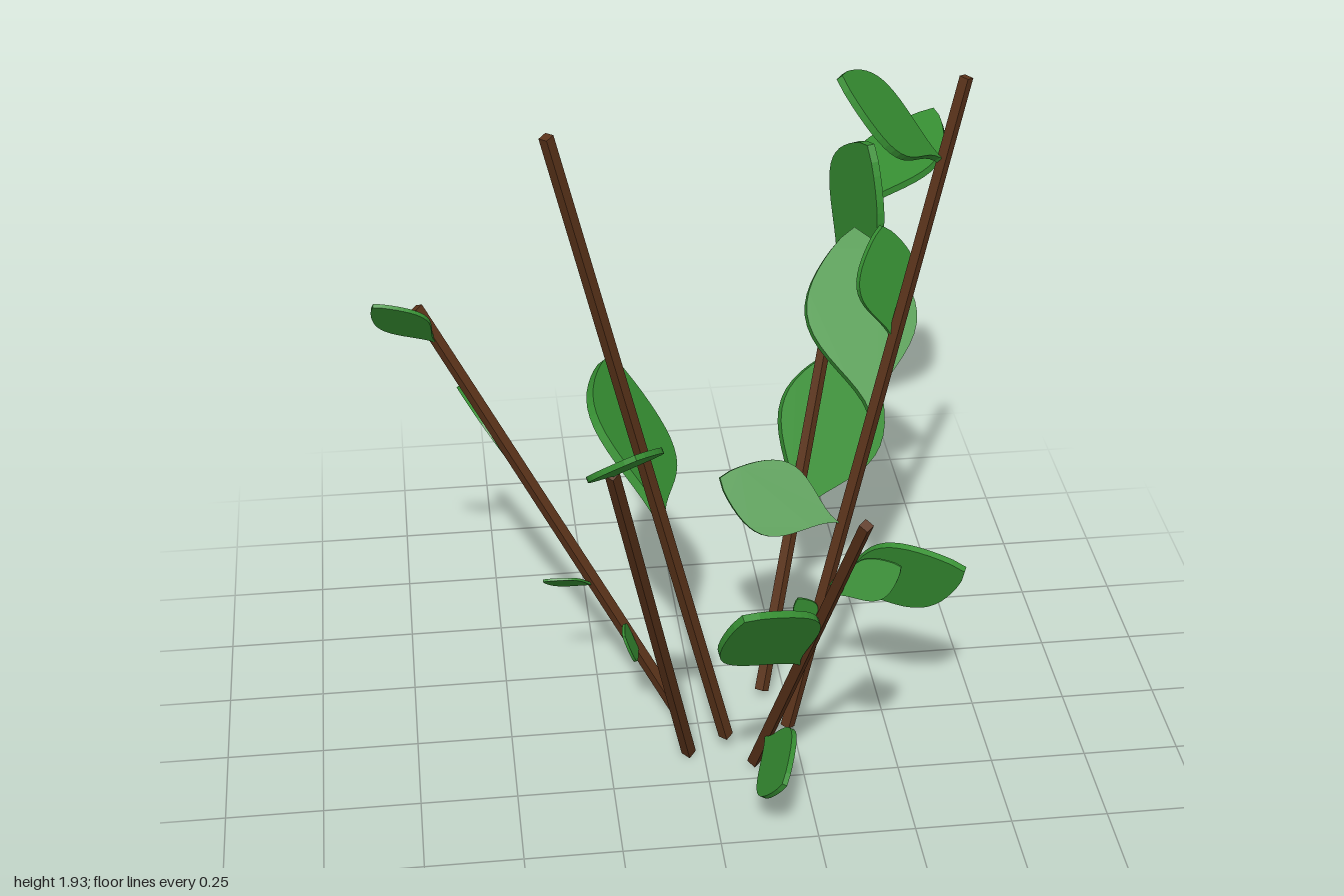
import * as THREE from 'three';

const V = (a) => new THREE.Vector3(...a);
const UP = new THREE.Vector3(0, 1, 0);

// Each twig: base, tip and leaves as [position along twig, leaf tip x, y, z, roll]
const TWIGS = [
  { base: [0.06, 0.05, 0.12], tip: [-0.38, 1.93, 0.36], leaves: [
    [0.383, -0.2, 0.99, -0.28, 0.75],
  ] },
  { base: [0.23, 0.04, 0.085], tip: [0.645, 1.845, -0.03], leaves: [
    [0.17, 0.25, 0.45, 0.085, 1.25],
    [0.24, 0.645, 0.63, 0.265, -1.25],
    [0.335, 0.055, 0.78, 0, -0.96],
    [0.495, 0.44, 1.3, -0.33, 0.15],
    [0.615, 0.455, 1.455, -0.04, 0],
    [0.88, 0.32, 1.91, 0.08, -0.5],
  ] },
  { base: [-0.04, 0.01, 0.13], tip: [-0.28, 1.29, 0.75], leaves: [
    [1, -0.25, 1.48, 0.99, 0.23],
  ] },
  { base: [-0.05, 0.02, -0.04], tip: [-0.685, 1.21, -0.205], leaves: [
    [0.16, -0.2, 0.34, 0.05, -1.11],
    [0.33, -0.4, 0.465, -0.05, 0.72],
    [0.54, -0.585, 0.88, -0.37, 0.93],
    [0.92, -0.79, 1.28, -0.1, 0.66],
  ] },
  { base: [0.125, 0.02, 0.2], tip: [0.285, 1.14, 0.795], leaves: [
    [0.125, 0.145, 0.25, 0.59, 1.07],
    [0.455, 0.02, 0.85, 0.715, 0.7],
    [0.732, 0.395, 0.935, 0.67, 1.27],
  ] },
  { base: [0.185, 0.03, -0.09], tip: [0.5, 1.21, -0.695], leaves: [
    [0.335, 0.53, 0.79, -0.63, 0.78],
    [0.855, 0.495, 1.49, -0.42, -1.48],
    [0.955, 0.78, 1.305, -0.995, -0.18],
  ] },
];

// Blade of unit length: narrow at the stalk, broad beyond the middle, pointed at the tip
function leafGeometry() {
  const steps = 18, halfWidth = 0.285, depth = 0.042;
  const right = [], left = [];
  for (let i = 1; i < steps; i++) {
    const u = i / steps;
    const x = halfWidth * Math.sin(Math.PI * u ** 1.2) ** (1.6 - 0.8 * u);
    right.push(new THREE.Vector2(x, u));
    left.unshift(new THREE.Vector2(-x, u));
  }
  const outline = [new THREE.Vector2(0, 0), ...right, new THREE.Vector2(0, 1), ...left];
  const geometry = new THREE.ExtrudeGeometry(new THREE.Shape(outline), { depth, bevelEnabled: false });
  return geometry.translate(0, 0, -depth / 2);
}

function makeStem(base, tip, material) {
  const axis = tip.clone().sub(base);
  const stem = new THREE.Mesh(new THREE.CylinderGeometry(0.017, 0.019, axis.length(), 4), material);
  stem.position.lerpVectors(base, tip, 0.5);
  stem.quaternion.setFromUnitVectors(UP, axis.normalize());
  return stem;
}

// Lays a blade from base to tip with its face upward, then rolls it about its midrib
function makeLeaf(geometry, base, tip, roll, material) {
  const axis = tip.clone().sub(base);
  const leaf = new THREE.Mesh(geometry, material);
  leaf.position.copy(base);
  leaf.scale.setScalar(axis.length());
  axis.normalize();
  const normal = UP.clone().projectOnPlane(axis).normalize().applyAxisAngle(axis, roll);
  const side = axis.clone().cross(normal);
  leaf.quaternion.setFromRotationMatrix(new THREE.Matrix4().makeBasis(side, axis, normal));
  return leaf;
}

export function createModel() {
  const model = new THREE.Group();
  model.name = 'leafyTwigs';
  const bark = new THREE.MeshStandardMaterial({ color: 0x5a331a, flatShading: true });
  const green = new THREE.MeshStandardMaterial({ color: 0x379033, flatShading: true });
  const blade = leafGeometry();

  TWIGS.forEach((twig, i) => {
    const group = new THREE.Group();
    group.name = `twig${i + 1}`;
    const base = V(twig.base), tip = V(twig.tip);
    const stem = makeStem(base, tip, bark);
    stem.name = 'stem';
    group.add(stem);
    twig.leaves.forEach(([along, x, y, z, roll], j) => {
      const root = base.clone().lerp(tip, along);
      const leaf = makeLeaf(blade, root, V([x, y, z]), roll, green);
      leaf.name = `leaf${j + 1}`;
      group.add(leaf);
    });
    model.add(group);
  });
  return model;
}
